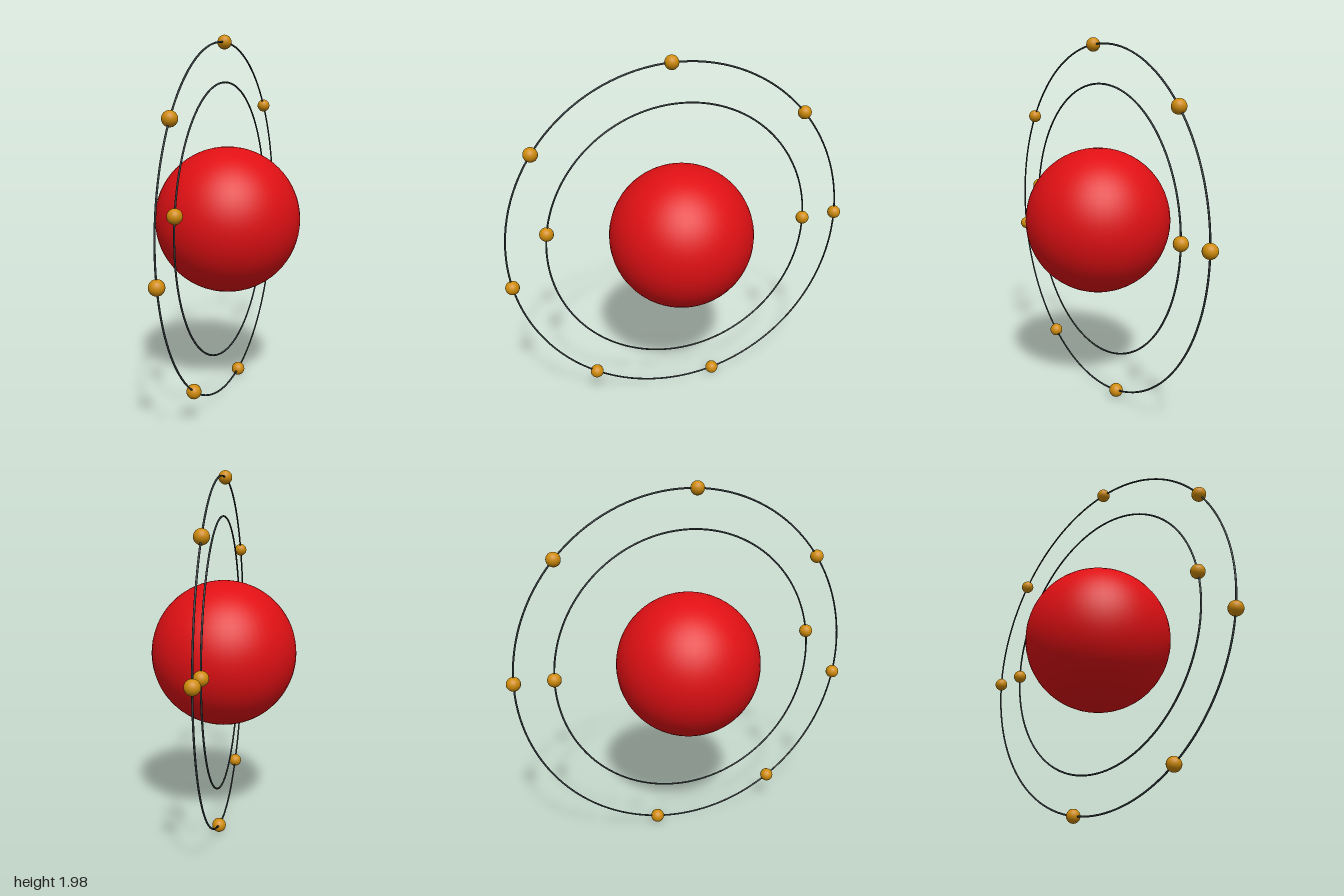
import * as THREE from 'three';

const CENTER = new THREE.Vector3(-0.006, 0.994, 0.007);

export function createModel() {
  const model = new THREE.Group();
  model.name = 'atom';
  const red = new THREE.MeshStandardMaterial({ color: 0xe01014 });
  const gold = new THREE.MeshStandardMaterial({ color: 0xd08c0c });
  const dark = new THREE.MeshStandardMaterial({ color: 0x30383a });

  const add = (name, geometry, material, parent = model) => {
    const mesh = new THREE.Mesh(geometry, material);
    mesh.name = name;
    parent.add(mesh);
    return mesh;
  };

  // Nucleus
  add('nucleus', new THREE.SphereGeometry(0.406, 48, 32), red).position.copy(CENTER);

  // Shells: upright rings in the yz plane, electrons as degrees from +z towards +y
  const electronGeometry = new THREE.SphereGeometry(0.038, 24, 16);
  const shells = [
    { name: 'innerShell', radius: 0.754, angles: [8.7, 179.5] },
    { name: 'outerShell', radius: 0.965, angles: [-10.2, 35.2, 87, 138.1, 179.2, 258.2, 303] },
  ];
  for (const { name, radius, angles } of shells) {
    const shell = new THREE.Group();
    shell.name = name;
    shell.position.copy(CENTER);
    model.add(shell);

    const ring = add(name + 'Ring', new THREE.TorusGeometry(radius, 0.005, 8, 128), dark, shell);
    ring.rotation.y = Math.PI / 2;

    angles.forEach((degrees, i) => {
      const a = THREE.MathUtils.degToRad(degrees);
      const electron = add(`${name}Electron${i + 1}`, electronGeometry, gold, shell);
      electron.position.set(0, radius * Math.sin(a), radius * Math.cos(a));
    });
  }
  return model;
}
